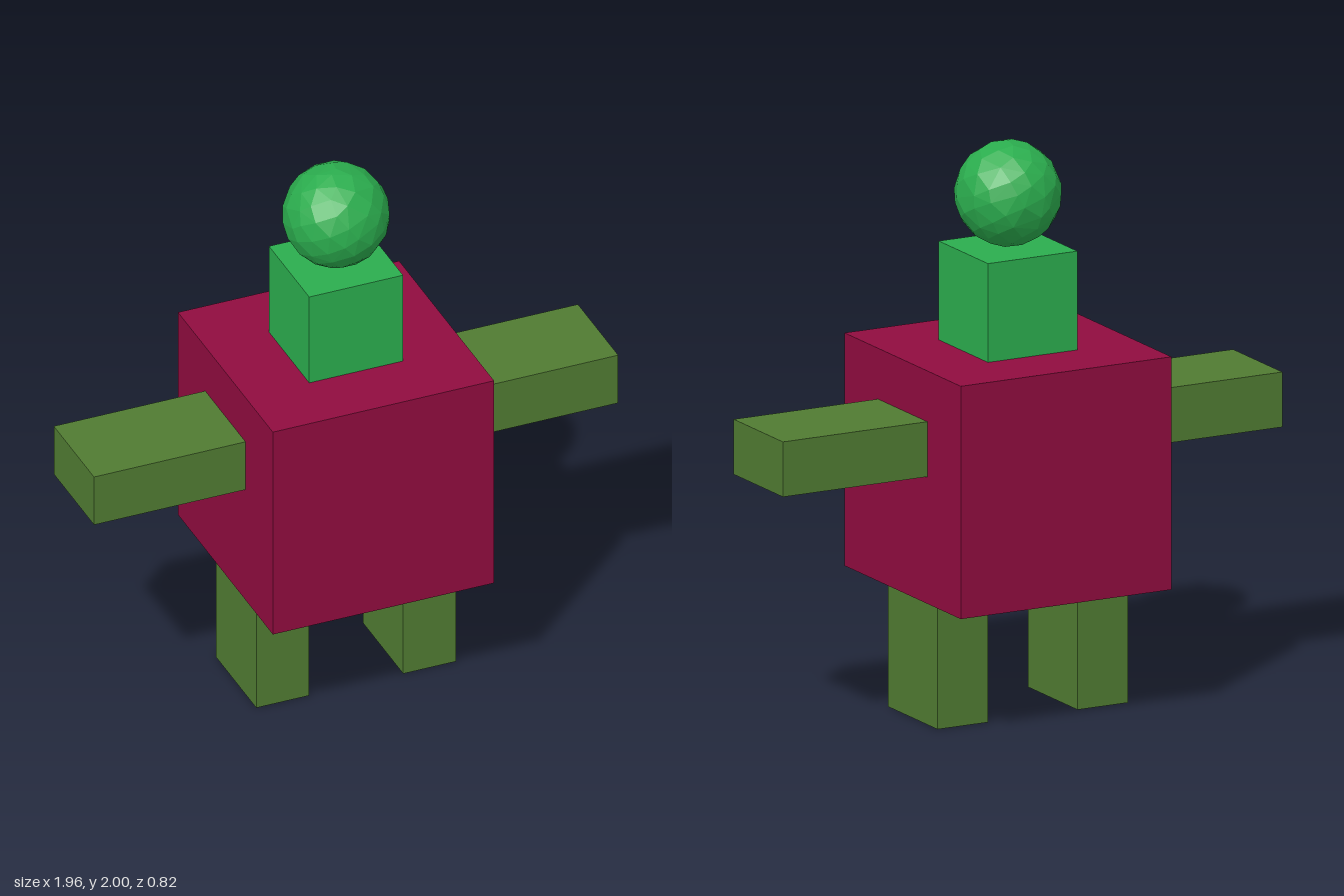
import * as THREE from 'three';
import { ConvexGeometry } from 'three/addons/geometries/ConvexGeometry.js';

const paint = (color) => new THREE.MeshStandardMaterial({ color, flatShading: true });

function box(name, size, position, material) {
  const mesh = new THREE.Mesh(new THREE.BoxGeometry(...size), material);
  mesh.name = name;
  mesh.position.set(...position);
  return mesh;
}

// Small seeded generator for the uneven facets of the head
function seeded(seed) {
  return () => (seed = (seed * 16807) % 2147483647) / 2147483647;
}

// Ball with irregular facets: jittered spiral points wrapped in a hull
function facetedBall(radius, count) {
  const rand = seeded(42);
  const points = [];
  for (let i = 0; i < count; i++) {
    const y = 1 - (2 * i) / (count - 1);
    const r = Math.sqrt(Math.max(0, 1 - y * y));
    const a = i * 2.39996 + (rand() - 0.5) * 0.25;
    points.push(new THREE.Vector3(r * Math.cos(a), y, r * Math.sin(a)).multiplyScalar(radius));
  }
  return new ConvexGeometry(points);
}

export function createModel() {
  const model = new THREE.Group();
  model.name = 'blockFigure';
  const red = paint(0x900c3f);
  const olive = paint(0x507b32);
  const green = paint(0x2bad4e);

  // Body and neck
  model.add(box('torso', [0.825, 0.825, 0.825], [0, 0.8625, 0], red));
  model.add(box('neck', [0.35, 0.35, 0.35], [0, 1.45, 0], green));

  // Head
  const head = new THREE.Mesh(facetedBall(0.186, 110), green);
  head.name = 'head';
  head.position.y = 1.814;
  model.add(head);

  // Arms and legs, mirrored
  for (const [side, s] of [['left', 1], ['right', -1]]) {
    model.add(box(side + 'Arm', [0.57, 0.195, 0.35], [s * 0.6925, 0.9975, 0], olive));
    model.add(box(side + 'Leg', [0.197, 0.45, 0.35], [s * 0.274, 0.225, 0], olive));
  }
  return model;
}
